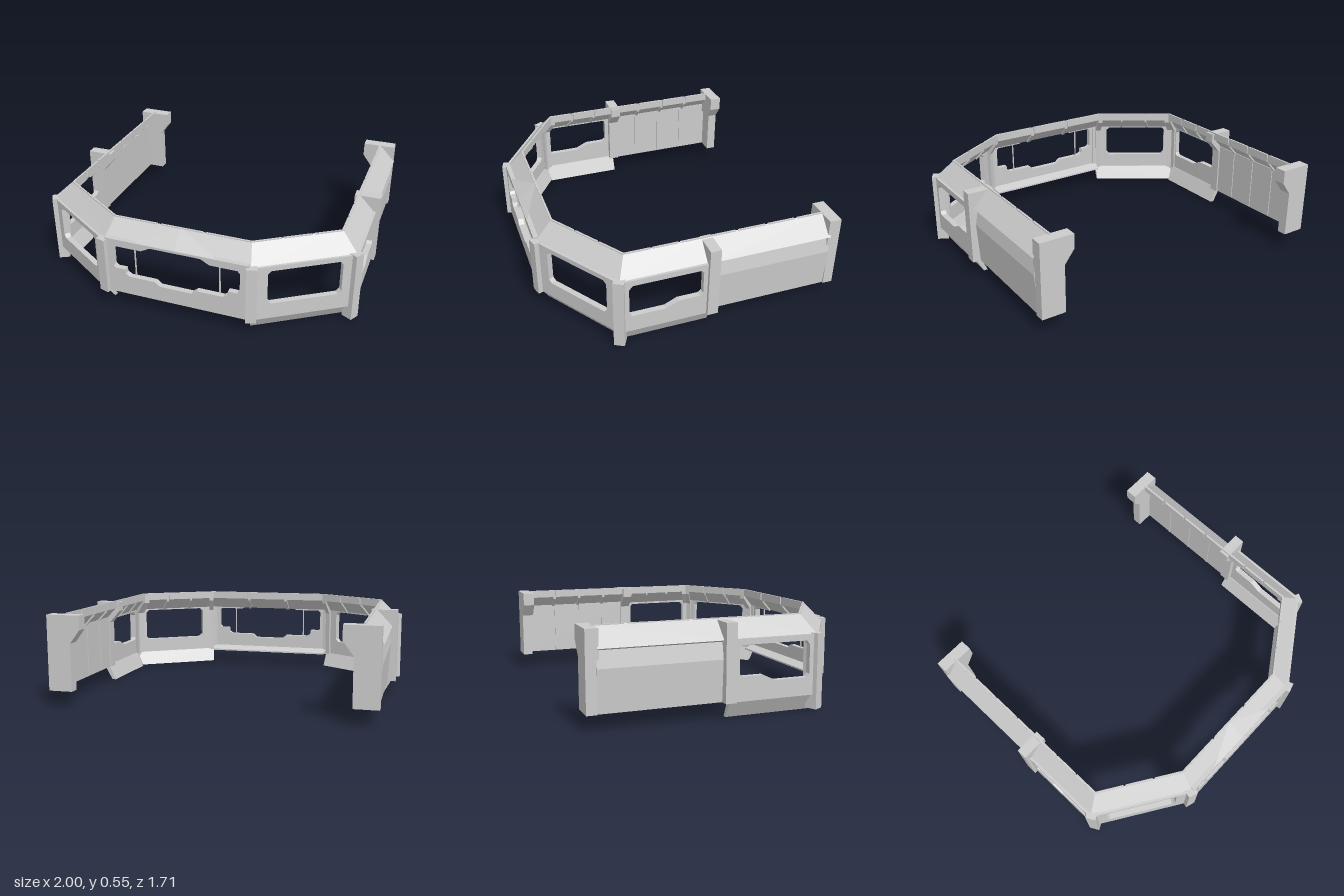
import * as THREE from 'three';

const material = new THREE.MeshStandardMaterial({ color: 0xcccccc, flatShading: true, side: THREE.DoubleSide });

// Plan of the outer wall line: [x, z], with the inward mitre direction per unit depth.
const FRONT_L = { p: [-0.45, 0.82], m: [0.29, -1] };
const FRONT_R = { p: [0.45, 0.82], m: [-0.29, -1] };
const CORNER = { p: [0.97, 0.48], m: [-1, -0.54] };
const side = (z) => ({ p: [0.97, z], m: [-1, 0] });

const polygon = (pts) => new THREE.Shape(pts.map(([x, y]) => new THREE.Vector2(x, y)));

// Sweeps a profile of [inward depth, height] from one plan point to another.
function sweep(profile, a, b, t0 = 0, t1 = 1) {
  const geo = new THREE.ExtrudeGeometry(polygon(profile), { depth: 1, bevelEnabled: false });
  const pos = geo.attributes.position;
  for (let i = 0; i < pos.count; i++) {
    const d = pos.getX(i), t = t0 + (t1 - t0) * pos.getZ(i);
    const at = (k) => (a.p[k] + a.m[k] * d) * (1 - t) + (b.p[k] + b.m[k] * d) * t;
    pos.setXYZ(i, at(0), pos.getY(i), at(1));
  }
  geo.computeVertexNormals();
  return geo;
}

// Upright panel with a window, turned to face outward.
function windowPanel(width, y0, y1, hole, x, z, angle) {
  const w = width / 2;
  const shape = polygon([[-w, y0], [w, y0], [w, y1], [-w, y1]]);
  shape.holes.push(polygon(hole));
  return new THREE.ExtrudeGeometry(shape, { depth: 0.035, bevelEnabled: false })
    .translate(0, 0, -0.025).rotateY(angle).translate(x, 0, z);
}

// Copy of a geometry on the other side of x = 0.
function mirrored(source) {
  const geo = source.index ? source.toNonIndexed() : source.clone();
  geo.scale(-1, 1, 1);
  const pos = geo.attributes.position, a = new THREE.Vector3(), b = new THREE.Vector3();
  for (let i = 0; i < pos.count; i += 3) {
    a.fromBufferAttribute(pos, i + 1);
    b.fromBufferAttribute(pos, i + 2);
    pos.setXYZ(i + 1, b.x, b.y, b.z);
    pos.setXYZ(i + 2, a.x, a.y, a.z);
  }
  geo.computeVertexNormals();
  return geo;
}

const rect = (d0, y0, d1, y1) => [[d0, y0], [d1, y0], [d1, y1], [d0, y1]];

// Rectangle with cut corners.
const chamfered = (x0, y0, x1, y1, c) => [
  [x0 + c, y0], [x1 - c, y0], [x1, y0 + c], [x1, y1 - c],
  [x1 - c, y1], [x0 + c, y1], [x0, y1 - c], [x0, y0 + c]];

const ROOF = [[0, 0.44], [0.105, 0.55], [0.105, 0.5], [0.035, 0.425]];
const SKIRT = [[-0.005, 0.1], [0.05, 0.01], [0.075, 0.01], [0.03, 0.1]];
const SIDE_SKIRT = [[-0.005, 0.1], [0.05, 0], [0.075, 0], [0.03, 0.1]];

export function createModel() {
  const group = new THREE.Group();
  const add = (name, geo) => {
    const mesh = new THREE.Mesh(geo, material);
    mesh.name = name;
    group.add(mesh);
  };
  const addPair = (name, geo) => {
    add(name + 'Left', geo);
    add(name + 'Right', mirrored(geo));
  };

  // Sloping roof edge with a lip on its inside, split by narrow gaps.
  const addRoof = (name, a, b, parts, put) => {
    put(name, sweep(ROOF, a, b));
    const gap = 0.012;
    for (let i = 0; i < parts; i++) {
      const t0 = i / parts + (i ? gap : 0), t1 = (i + 1) / parts - (i < parts - 1 ? gap : 0);
      put(name + 'Lip' + (i + 1), sweep(rect(0.1, 0.5, 0.112, 0.55), a, b, t0, t1));
      if (i) put(name + 'Rib' + i,
        sweep([[0.035, 0.425], [0.105, 0.5], [0.105, 0.485], [0.045, 0.42]], a, b, t0 - 2 * gap, t0));
    }
  };
  addRoof('frontRoof', FRONT_L, FRONT_R, 3, add);
  addRoof('diagonalRoof', FRONT_R, CORNER, 3, addPair);
  addRoof('sideRoof', CORNER, side(-0.06), 3, addPair);
  addRoof('rearRoof', side(-0.06), side(-0.8), 4, addPair);

  // Shallow gable in the middle of the front roof.
  const gable = new THREE.BufferGeometry();
  const L = [-0.25, 0.46, 0.825], R = [0.25, 0.46, 0.825], top = [0, 0.55, 0.715], M = [0, 0.465, 0.83];
  gable.setAttribute('position', new THREE.Float32BufferAttribute([L, M, top, M, R, top].flat(), 3));
  gable.computeVertexNormals();
  add('roofGable', gable);

  // Front window with a stepped outline.
  const half = [[0.1, 0.195], [0.13, 0.22], [0.29, 0.22], [0.315, 0.235], [0.32, 0.265], [0.375, 0.265],
    [0.39, 0.28], [0.39, 0.4], [0.375, 0.415], [0.21, 0.415], [0.155, 0.445]];
  const frontHole = [...half, ...half.map(([x, y]) => [-x, y]).reverse()];
  add('frontPanel', windowPanel(0.88, 0.095, 0.46, frontHole, 0, 0.82, 0));
  addPair('windowRod', new THREE.BoxGeometry(0.007, 0.21, 0.007).translate(0.262, 0.32, 0.8));
  add('frontSill', sweep([[0, 0.095], [0.09, 0.095], [0.09, 0.105], [0.02, 0.13]], FRONT_L, FRONT_R));

  // Diagonal and side windows.
  const angle = Math.atan2(0.34, 0.52);
  addPair('diagonalPanel', windowPanel(0.62, 0.095, 0.445,
    chamfered(-0.215, 0.195, 0.225, 0.415, 0.02), 0.71, 0.65, angle));
  const facing = Math.PI / 2 - angle;
  const sideHole = [[-0.2, 0.2], [0, 0.2], [0.075, 0.235], [0.2, 0.235], [0.22, 0.25], [0.22, 0.395],
    [0.205, 0.41], [-0.195, 0.41], [-0.215, 0.385], [-0.215, 0.22]];
  addPair('sidePanel', windowPanel(0.53, 0.095, 0.445, sideHole, 0.97, 0.215, Math.PI / 2));

  // Skirts leaning inward below the windows.
  addPair('diagonalSkirt', sweep(SKIRT, FRONT_R, CORNER));
  addPair('sideSkirt', sweep(SIDE_SKIRT, CORNER, side(-0.06)));

  // Solid rear walls with a slight fold and inner battens.
  addPair('rearWall', sweep([[0.025, 0.435], [0.005, 0.335], [0.02, 0.095], [0.05, 0.095], [0.05, 0.435]],
    side(-0.06), side(-0.8)));
  for (const z of [-0.24, -0.42, -0.6]) {
    addPair('rearBatten', sweep(rect(0.045, 0.1, 0.056, 0.43), side(z + 0.006), side(z - 0.006)));
  }

  // Posts at the bends of the wall.
  const post = (x, z, turn, y0) => new THREE.BoxGeometry(0.062, 0.45 - y0, 0.07)
    .translate(0, (0.45 + y0) / 2, -0.01).rotateY(turn).translate(x, 0, z);
  addPair('frontPost', post(0.455, 0.822, angle / 2, 0.09));
  addPair('cornerPost', post(0.965, 0.482, (angle + Math.PI / 2) / 2, 0.012));

  // Brackets joining the inner side of the posts to the roof.
  const bracket = [[0.02, 0.1], [0.045, 0.1], [0.05, 0.4], [0.11, 0.48], [0.11, 0.53], [0.02, 0.44]];
  addPair('frontBracketInner', sweep(bracket, FRONT_R, CORNER, 0, 0.06));
  addPair('cornerBracketInner', sweep(bracket, FRONT_R, CORNER, 0.94, 1));
  addPair('cornerBracketRear', sweep(bracket, CORNER, side(-0.06), 0, 0.06));

  // Pillar between the side window and the rear wall.
  addPair('middlePillar', sweep([[-0.03, 0.095], [0.06, 0.095], [0.06, 0.4], [0.13, 0.48],
    [0.13, 0.54], [-0.03, 0.54]], side(-0.03), side(-0.095)));

  // End pillar with an overhanging cap.
  addPair('endPillar', sweep(rect(0.01, 0.095, 0.155, 0.48), side(-0.8), side(-0.86)));
  addPair('endPillarCap', sweep([[0.01, 0.38], [0.155, 0.38], [0.215, 0.46], [0.215, 0.545],
    [0.01, 0.545]], side(-0.787), side(-0.86)));

  return group;
}
